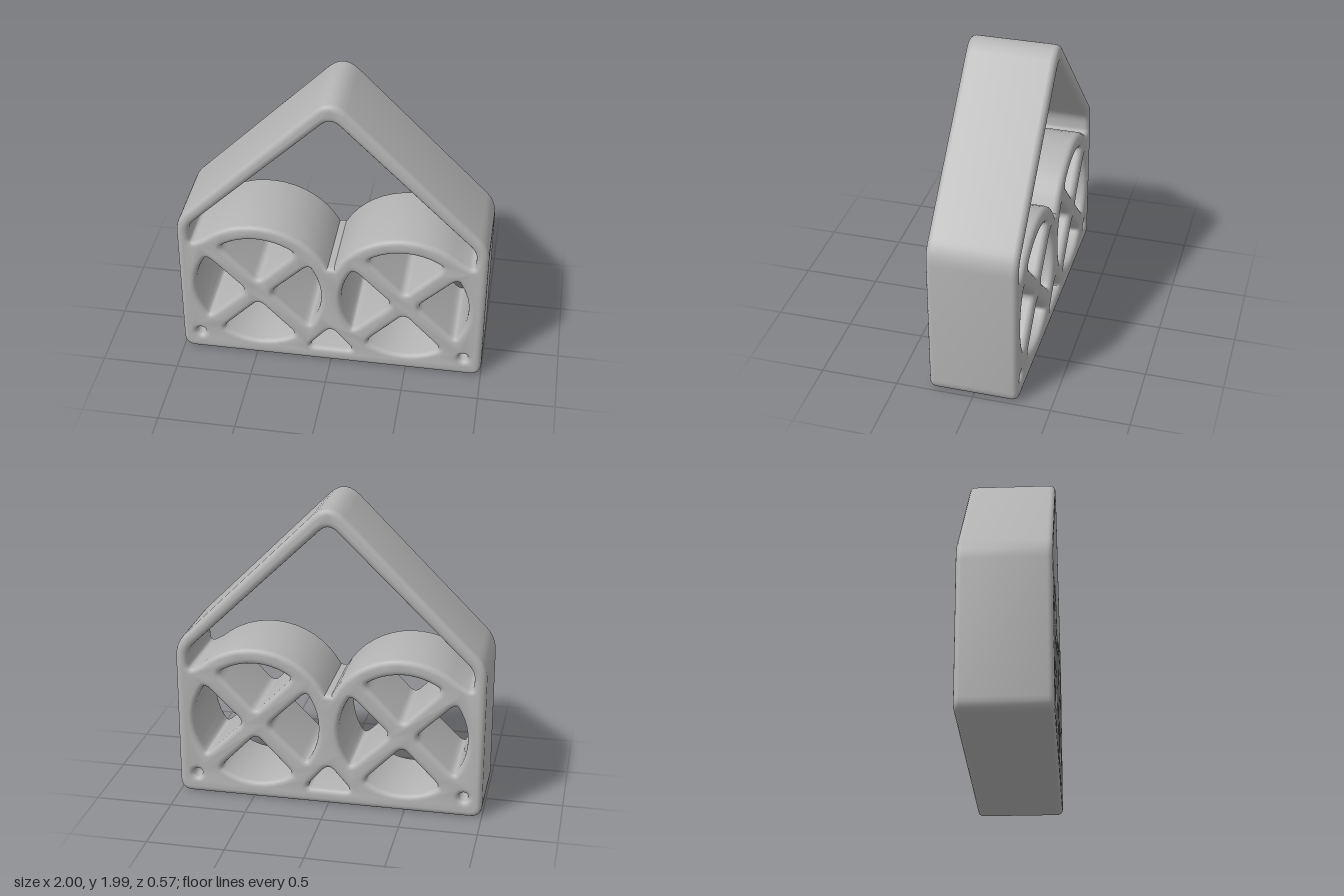
import * as THREE from 'three';
import { toCreasedNormals } from 'three/addons/utils/BufferGeometryUtils.js';

const DEPTH = 0.57, BEVEL = 0.035;
const WHEEL_X = 0.48, WHEEL_Y = 0.525;

// Closed outline through [x, y, cornerSize] points; corners with a size are rounded.
function outline(points, PathType = THREE.Path) {
  const path = new PathType();
  const n = points.length;
  const toward = (a, b, d) => {
    const len = Math.hypot(b[0] - a[0], b[1] - a[1]);
    const t = Math.min(d / len, 0.48);
    return [a[0] + (b[0] - a[0]) * t, a[1] + (b[1] - a[1]) * t];
  };
  points.forEach((p, i) => {
    const r = p[2] || 0;
    const a = r ? toward(p, points[(i + n - 1) % n], r) : p;
    if (i === 0) path.moveTo(a[0], a[1]);
    else path.lineTo(a[0], a[1]);
    if (r) {
      const b = toward(p, points[(i + 1) % n], r);
      path.quadraticCurveTo(p[0], p[1], b[0], b[1]);
    }
  });
  path.closePath();
  return path;
}

// Points on a circle around a wheel centre, angles in degrees.
function arc(cx, radius, from, to, steps) {
  return Array.from({ length: steps + 1 }, (_, i) => {
    const a = THREE.MathUtils.degToRad(from + (to - from) * i / steps);
    return [cx + radius * Math.cos(a), WHEEL_Y + radius * Math.sin(a), 0];
  });
}

// One opening between two diagonal spokes; facing is its direction in degrees.
function spokeOpening(cx, facing) {
  const tip = 0.08, radius = 0.415, half = 36.5;
  const a = THREE.MathUtils.degToRad(facing);
  const rim = arc(cx, radius, facing - half, facing + half, 10);
  rim[0][2] = rim[10][2] = 0.06;
  return outline([[cx + tip * Math.cos(a), WHEEL_Y + tip * Math.sin(a), 0.05], ...rim]);
}

export function createModel() {
  const group = new THREE.Group();
  group.name = 'houseFrame';
  const grey = new THREE.MeshStandardMaterial({ color: 0xb4b4b4 });
  grey.name = 'grey';

  // House silhouette
  const house = outline([
    [-1, 0, 0.08], [1, 0, 0.08], [1, 1.04, 0.09], [0, 2.04, 0.14], [-1, 1.04, 0.09],
  ], THREE.Shape);

  // Attic opening, with the tops of both wheels as its floor
  const leftHump = arc(-WHEEL_X, 0.52, 132, 28, 14);
  const rightHump = arc(WHEEL_X, 0.52, 152, 48, 14);
  house.holes.push(outline([
    [0, 1.9, 0.08], [-0.925, 1.0, 0.06], [-0.92, 0.86, 0.05],
    ...leftHump, [0, 0.77, 0.04], ...rightHump,
    [0.92, 0.86, 0.05], [0.925, 1.0, 0.06],
  ]));

  for (const side of [-1, 1]) {
    // Four openings leave a wheel with crossed spokes
    for (const facing of [0, 90, 180, 270]) {
      house.holes.push(spokeOpening(side * WHEEL_X, facing));
    }
    // Small corner hole
    const bolt = new THREE.Path();
    bolt.absarc(side * 0.88, 0.135, 0.03, 0, Math.PI * 2);
    house.holes.push(bolt);
  }

  // Triangle between the wheels
  house.holes.push(outline([[0, 0.28, 0.06], [-0.155, 0.1, 0.05], [0.155, 0.1, 0.05]]));

  const geometry = new THREE.ExtrudeGeometry(house, {
    depth: DEPTH - 2 * BEVEL, curveSegments: 6, bevelEnabled: true, bevelSegments: 4,
    bevelThickness: BEVEL, bevelSize: BEVEL, bevelOffset: -BEVEL,
  });
  geometry.translate(0, 0, BEVEL - DEPTH / 2);

  const frame = new THREE.Mesh(toCreasedNormals(geometry, 0.6), grey);
  frame.name = 'frameWithSpokedWheels';
  group.add(frame);
  return group;
}
